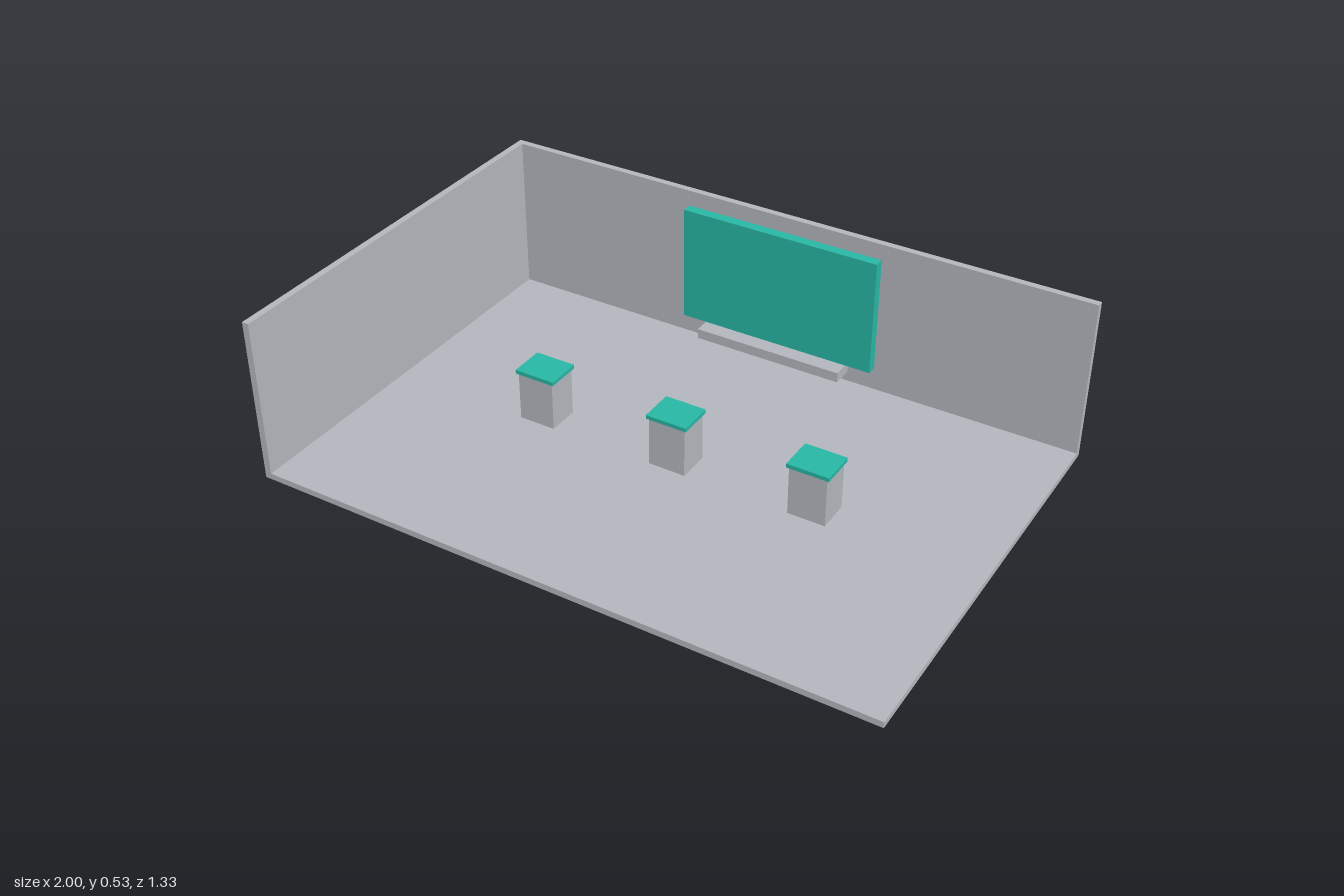
import * as THREE from 'three';

export function createModel() {
  const room = new THREE.Group();
  room.name = 'displayRoom';

  const grey = new THREE.MeshStandardMaterial({ color: 0xb4b8be });
  grey.name = 'pale grey';
  const teal = new THREE.MeshStandardMaterial({ color: 0x28b8a6 });
  teal.name = 'teal';

  // Box given by its extents along each axis
  function box(name, material, [x0, x1], [y0, y1], [z0, z1], parent = room) {
    const mesh = new THREE.Mesh(new THREE.BoxGeometry(x1 - x0, y1 - y0, z1 - z0), material);
    mesh.position.set((x0 + x1) / 2, (y0 + y1) / 2, (z0 + z1) / 2);
    mesh.name = name;
    parent.add(mesh);
  }

  const depth = 0.667, height = 0.533, floorTop = 0.02, wall = 0.022;

  // Floor and the two walls standing on it
  box('floor', grey, [-1, 1], [0, floorTop], [-depth, depth]);
  box('backWall', grey, [-1, 1], [floorTop, height], [-depth, -depth + wall]);
  box('sideWall', grey, [-1, -1 + wall], [floorTop, height], [-depth + wall, depth]);

  // Screen and the ledge below it
  box('screen', teal, [-0.333, 0.333], [0.103, 0.487], [-0.635, -0.602]);
  box('ledge', grey, [-0.25, 0.25], [0.07, 0.103], [-0.623, -0.55]);

  // Row of plinths with overhanging caps
  for (const x of [-0.46, 0, 0.46]) {
    const plinth = new THREE.Group();
    plinth.name = 'plinth';
    plinth.position.x = x;
    box('plinthBase', grey, [-0.06, 0.06], [floorTop, 0.18], [-0.052, 0.052], plinth);
    box('plinthCap', teal, [-0.067, 0.067], [0.18, 0.193], [-0.057, 0.057], plinth);
    room.add(plinth);
  }

  return room;
}
